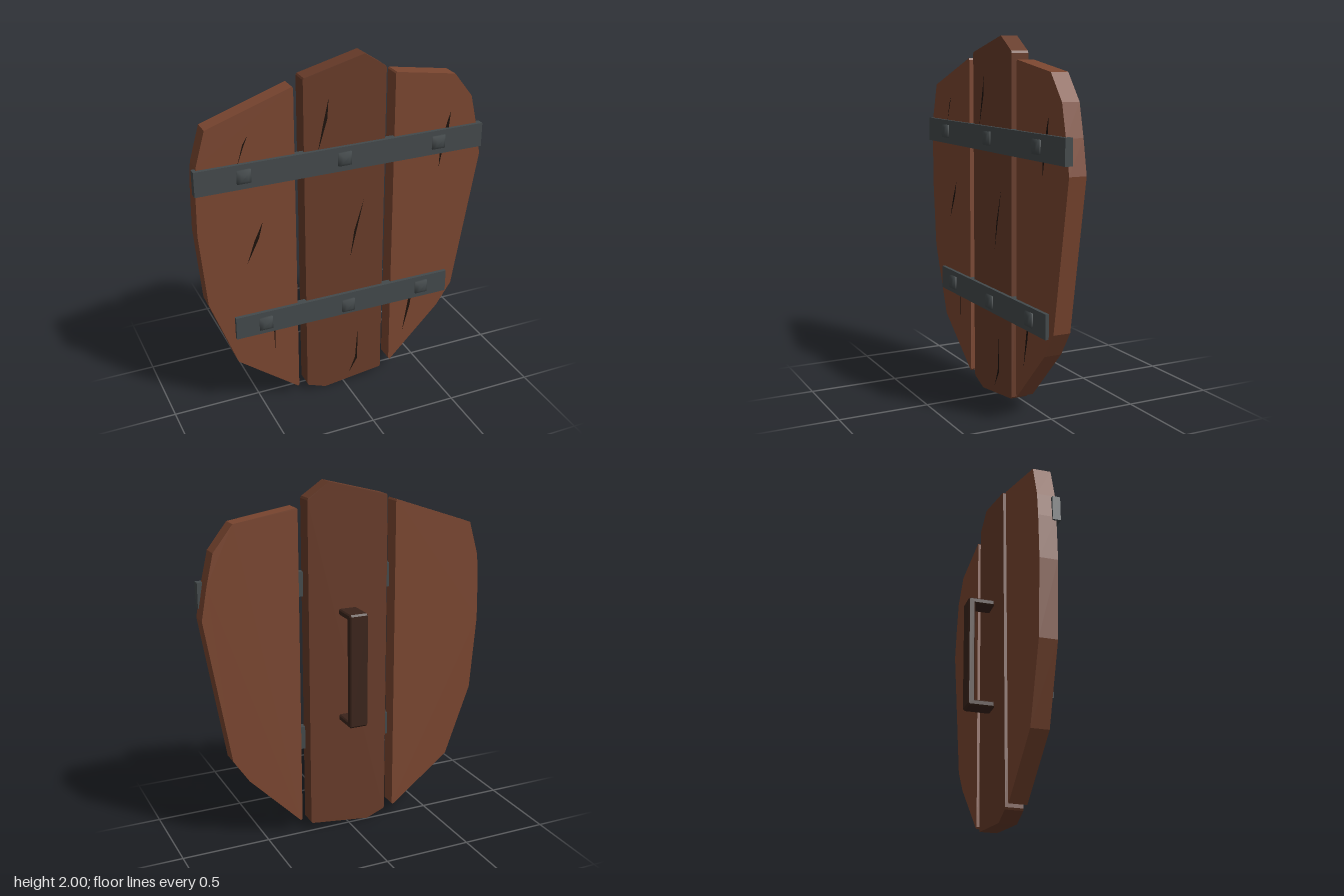
import * as THREE from 'three';

const mat = (color) => new THREE.MeshStandardMaterial({ color });
const shapeOf = (pts) => new THREE.Shape(pts.map(([x, y]) => new THREE.Vector2(x, y)));

export function createModel() {
  const model = new THREE.Group();
  model.name = 'woodenShield';
  const sideWood = mat(0x7a4630), midWood = mat(0x673b29);
  const iron = mat(0x43494b), handleWood = mat(0x3b241b), crackMat = mat(0x1c110b);
  crackMat.side = THREE.DoubleSide;

  const add = (name, geometry, material, parent = model) => {
    const mesh = new THREE.Mesh(geometry, material);
    mesh.name = name;
    parent.add(mesh);
    return mesh;
  };

  // Three planks with rough-hewn outlines
  const plank = (name, pts, material) => {
    const geo = new THREE.ExtrudeGeometry(shapeOf(pts), { depth: 0.097, bevelEnabled: false });
    add(name, geo, material).position.z = 0.003;
  };
  plank('rightPlank', [
    [-0.755, 1.72], [-0.29, 1.88], [-0.284, 1.87], [-0.284, 0.065], [-0.29, 0.057],
    [-0.64, 0.325], [-0.79, 0.73], [-0.825, 1.15], [-0.82, 1.4], [-0.81, 1.53],
  ], sideWood);
  plank('middlePlank', [
    [-0.226, 1.914], [0.11, 2], [0.229, 1.921], [0.235, 1.91], [0.235, 0.055], [0.229, 0.046],
    [-0.12, 0.003], [-0.226, 0.044], [-0.232, 0.055], [-0.232, 1.905],
  ], midWood);
  plank('leftPlank', [
    [0.297, 1.876], [0.645, 1.82], [0.755, 1.68], [0.795, 1.51], [0.828, 1.33],
    [0.69, 0.52], [0.6, 0.385], [0.3, 0.08], [0.29, 0.09], [0.29, 1.868],
  ], sideWood);

  // Thin dark cracks lying on the front faces
  const cracks = new THREE.Group();
  cracks.name = 'cracks';
  model.add(cracks);
  [
    [[-0.535, 1.66], [-0.56, 1.6], [-0.6, 1.49], [-0.563, 1.615]],
    [[-0.47, 1.165], [-0.495, 1.07], [-0.565, 0.93], [-0.52, 1.06]],
    [[-0.415, 0.55], [-0.425, 0.355], [-0.43, 0.55]],
    [[-0.093, 1.79], [-0.1, 1.68], [-0.155, 1.5], [-0.125, 1.65]],
    [[0.115, 1.185], [0.035, 0.84], [0.058, 1]],
    [[0.085, 0.365], [0.083, 0.15], [0.03, 0.06], [0.07, 0.16]],
    [[0.63, 1.61], [0.62, 1.5], [0.587, 1.38], [0.57, 1.29], [0.573, 1.4], [0.61, 1.55]],
    [[0.435, 0.55], [0.42, 0.43], [0.375, 0.26], [0.41, 0.48]],
  ].forEach((pts) => {
    add('crack', new THREE.ShapeGeometry(shapeOf(pts)), crackMat, cracks).position.z = 0.1015;
  });

  // Iron straps, each with three square domed rivets
  const rivetGeo = new THREE.LatheGeometry(
    [[0.053, -0.005], [0.053, 0.011], [0.027, 0.023], [0, 0.025]].map(([r, y]) => new THREE.Vector2(r, y)),
    4, Math.PI / 4).rotateX(Math.PI / 2);
  const strap = (name, x0, x1, y0, y1, rivets) => {
    const group = new THREE.Group();
    group.name = name;
    model.add(group);
    const bar = add('strapBar', new THREE.BoxGeometry(x1 - x0, y1 - y0, 0.042), iron, group);
    bar.position.set((x0 + x1) / 2, (y0 + y1) / 2, 0.099);
    rivets.forEach(([x, y]) => add('rivet', rivetGeo, iron, group).position.set(x, y, 0.12));
  };
  strap('upperStrap', -0.83, 0.823, 1.38, 1.517, [[-0.57, 1.452], [-0.01, 1.452], [0.548, 1.452]]);
  strap('lowerStrap', -0.65, 0.643, 0.487, 0.62, [[-0.48, 0.553], [0.015, 0.545], [0.477, 0.556]]);

  // Back handle: a U profile swept across its width, with small chamfers
  const grip = shapeOf([
    [0.006, 0.657], [-0.135, 0.657], [-0.145, 0.667], [-0.145, 1.297], [-0.135, 1.307], [0.006, 1.307],
    [0.006, 1.273], [-0.105, 1.273], [-0.105, 0.691], [0.006, 0.691],
  ].map(([z, y]) => [-z, y]));
  const gripGeo = new THREE.ExtrudeGeometry(grip, {
    depth: 0.094, bevelThickness: 0.007, bevelSize: 0.007, bevelOffset: -0.007, bevelSegments: 1,
  });
  gripGeo.rotateY(Math.PI / 2);
  add('handle', gripGeo, handleWood).position.x = -0.043;

  return model;
}
